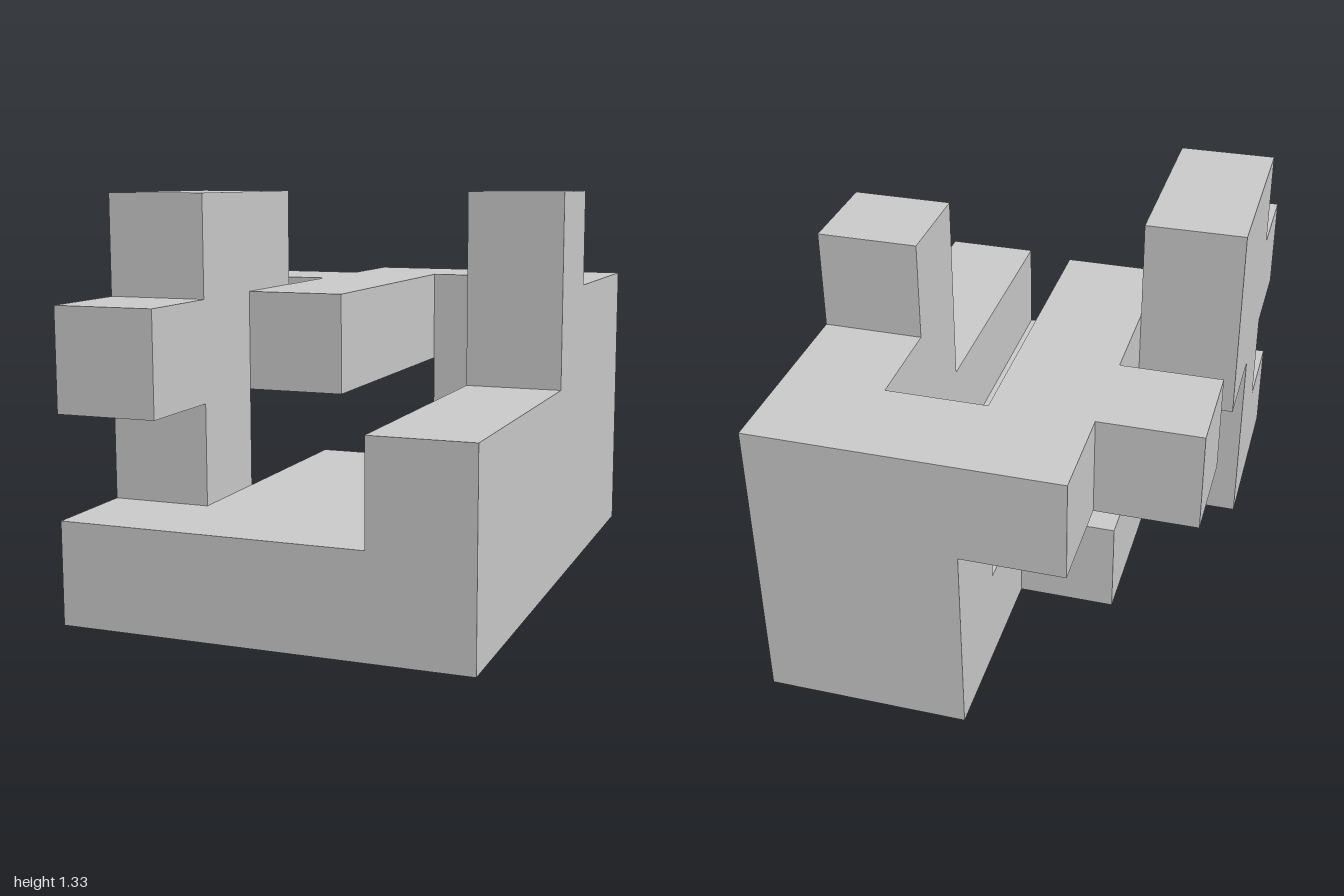
import * as THREE from 'three';
import { mergeGeometries } from 'three/addons/utils/BufferGeometryUtils.js';

const U = 1 / 3; // edge of one cube

// Each part is a list of boxes in cube units: [x0, y0, z0, x1, y1, z1], z0 = 0 at the back
const PARTS = {
  floor: [[2, 0, 0, 3, 1, 6], [1, 0, 2, 2, 1, 6], [0, 0, 4, 1, 1, 6]],
  leftWall: [[3, 0, 0, 4, 2, 6], [3, 2, 0, 4, 3, 3]],
  leftPost: [[3, 3, 2, 4, 4, 3]],
  backWall: [[2, 1, 0, 3, 3, 1]],
  raisedArm: [[1, 2, 0, 2, 3, 4]],
  rearPeg: [[0, 2, 1, 1, 3, 2]],
  rightTower: [[0, 1, 4, 1, 2, 5], [0, 2, 3, 1, 4, 5]],
  frontPeg: [[0, 2, 5, 1, 3, 6]],
};

// All cubes covered by a list of boxes
function cellsOf(boxes) {
  const cells = [];
  for (const [x0, y0, z0, x1, y1, z1] of boxes)
    for (let x = x0; x < x1; x++)
      for (let y = y0; y < y1; y++)
        for (let z = z0; z < z1; z++) cells.push([x, y, z]);
  return cells;
}

// Six face directions with the turn that points a plane that way
const H = Math.PI / 2;
const FACES = [
  { d: [0, 0, 1], rx: 0, ry: 0 }, { d: [0, 0, -1], rx: 0, ry: Math.PI },
  { d: [1, 0, 0], rx: 0, ry: H }, { d: [-1, 0, 0], rx: 0, ry: -H },
  { d: [0, 1, 0], rx: -H, ry: 0 }, { d: [0, -1, 0], rx: H, ry: 0 },
];

export function createModel() {
  const group = new THREE.Group();
  group.name = 'blockStructure';
  const material = new THREE.MeshStandardMaterial({ color: 0xcccccc, flatShading: true });
  const filled = new Set(cellsOf(Object.values(PARTS).flat()).map(String));

  for (const [name, boxes] of Object.entries(PARTS)) {
    const faces = [];
    for (const [x, y, z] of cellsOf(boxes)) {
      for (const { d, rx, ry } of FACES) {
        // Faces shared by two cubes are left out
        if (filled.has(String([x + d[0], y + d[1], z + d[2]]))) continue;
        faces.push(new THREE.PlaneGeometry(U, U).rotateX(rx).rotateY(ry).translate(
          (x - 1.5 + d[0] / 2) * U, (y + 0.5 + d[1] / 2) * U, (z - 2.5 + d[2] / 2) * U));
      }
    }
    const mesh = new THREE.Mesh(mergeGeometries(faces), material);
    mesh.name = name;
    group.add(mesh);
  }
  return group;
}
